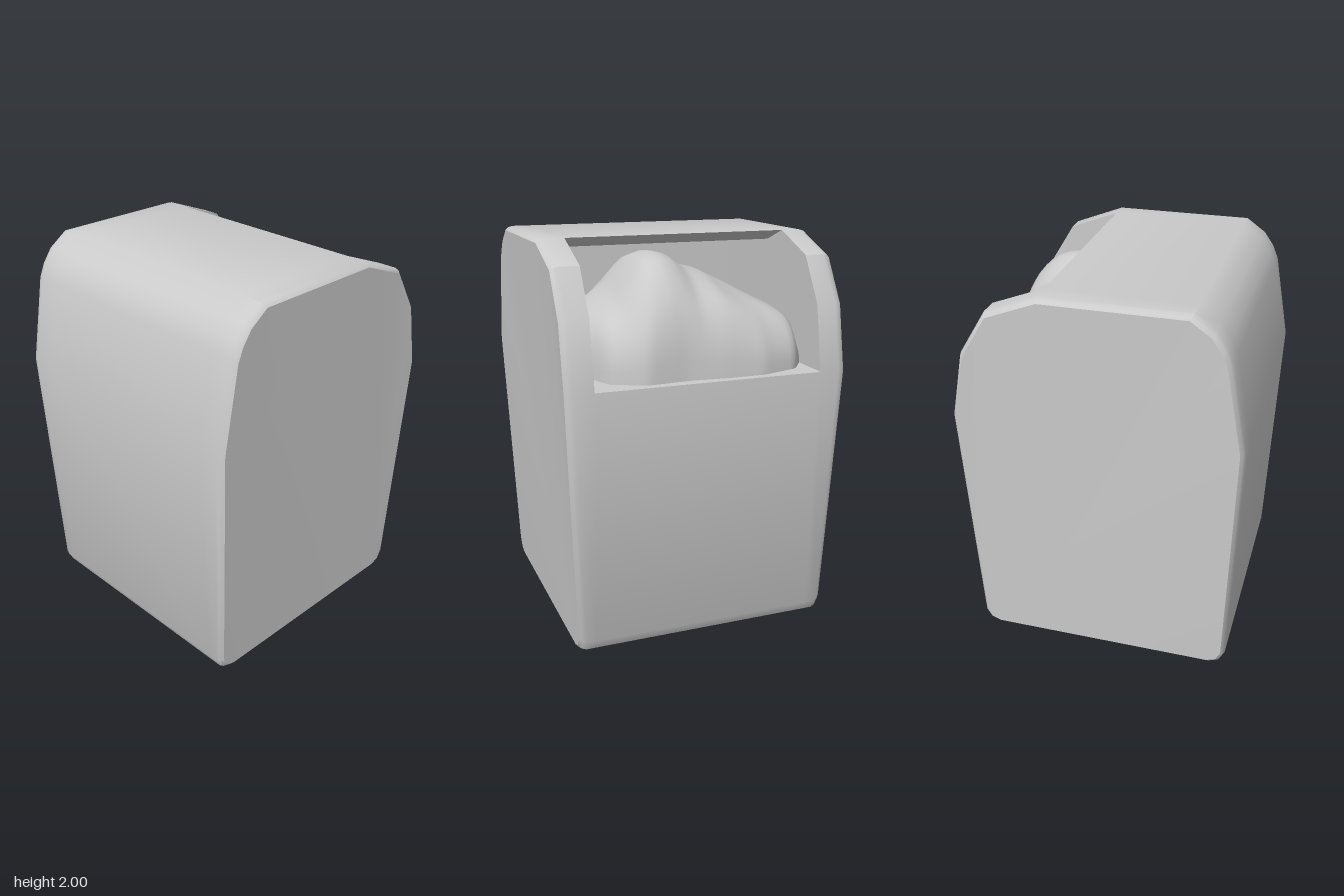
import * as THREE from 'three';
import { mergeGeometries, toCreasedNormals } from 'three/addons/utils/BufferGeometryUtils.js';

// Outer outline in x, y, counter-clockwise from the front
const rightLow = [[0.6, 0], [0.65, 0.02], [0.675, 0.07], [0.72, 1.35]];
const rightTop = [[0.655, 1.68], [0.52, 1.9], [0.26, 2]];
const leftSide = [[-0.46, 2], [-0.56, 1.93], [-0.61, 1.86], [-0.64, 1.79],
  [-0.72, 1.35], [-0.675, 0.07], [-0.65, 0.02], [-0.6, 0]];
const fullOutline = [...rightLow, ...rightTop, ...leftSide];
// The same outline with the load space cut out of the right-hand shoulder
const cutOutline = [...rightLow, [-0.4, 1.35], [-0.4, 1.94], [0.1, 1.94], [0.26, 2], ...leftSide];

// Skin a list of equal-length rings; convex rings can be capped
function loft(rings, capped) {
  const pos = [];
  const n = rings[0].length;
  const tri = (a, b, c) => pos.push(...a, ...b, ...c);
  for (let k = 0; k < rings.length - 1; k++) {
    for (let i = 0; i < n; i++) {
      const j = (i + 1) % n;
      const [p, q] = [rings[k], rings[k + 1]];
      tri(p[i], p[j], q[j]);
      tri(p[i], q[j], q[i]);
    }
  }
  if (capped) {
    const [s, e] = [rings[0], rings[rings.length - 1]];
    for (let i = 1; i < n - 1; i++) {
      tri(s[0], s[i + 1], s[i]);
      tri(e[0], e[i], e[i + 1]);
    }
  }
  const g = new THREE.BufferGeometry();
  g.setAttribute('position', new THREE.Float32BufferAttribute(pos, 3));
  return g;
}

// Outline at depth z, drawn in by "inset"; the outer rings taper to the foot
function ring(outline, z, inset = 0) {
  return outline.map(([x, y]) => {
    const taper = Math.abs(z) > 0.6 ? 0.925 + 0.075 * Math.min(y / 1.35, 1) : 1;
    return [x * (1 - inset / 0.72), 1 + (y - 1) * (1 - inset), z * taper];
  });
}

// Front and back cheeks with softened rims, joined by the hollowed middle
function bodyGeometry() {
  const steps = [[0.58, 0], [0.68, 0], [0.705, 0.007], [0.72, 0.02]];
  const front = steps.map(([z, inset]) => ring(fullOutline, z, inset));
  const back = steps.map(([z, inset]) => ring(fullOutline, -z, inset)).reverse();
  const middle = [ring(cutOutline, -0.58), ring(cutOutline, 0.58)];
  return toCreasedNormals(
    mergeGeometries([loft(front, true), loft(back, true), loft(middle, false)]), 0.62);
}

// Linear lookup in a list of [z, value]
function along(table, z) {
  for (let i = 1; i < table.length; i++) {
    const [a, b] = [table[i - 1], table[i]];
    if (z <= b[0]) return THREE.MathUtils.lerp(a[1], b[1], (z - a[0]) / (b[0] - a[0]));
  }
  return table[table.length - 1][1];
}

// Lumpy mound: one rounded section after another along z
function moundGeometry() {
  const crest = [[-0.58, 1.49], [-0.52, 1.62], [-0.35, 1.7], [-0.22, 1.77], [-0.12, 1.82],
    [0, 1.85], [0.08, 1.91], [0.15, 1.925], [0.24, 1.9], [0.31, 1.82], [0.37, 1.74],
    [0.52, 1.62], [0.58, 1.55]];
  const reach = [[-0.58, 0.5], [-0.5, 0.61], [-0.3, 0.675], [-0.1, 0.675], [0.1, 0.66],
    [0.3, 0.675], [0.47, 0.6], [0.54, 0.42], [0.58, 0.3]];
  const rows = 40, cols = 24;
  const pos = [], idx = [];
  for (let r = 0; r <= rows; r++) {
    const z = -0.58 + 1.16 * r / rows;
    const h = along(crest, z) - 1.35;
    const xMax = along(reach, z);
    const mid = 0.2 + 0.06 * Math.sin(z * 7);
    for (let c = 0; c <= cols; c++) {
      const a = Math.PI * c / cols;
      const cos = Math.cos(a), sin = Math.max(Math.sin(a), 0);
      const x = cos > 0 ? mid + (xMax - mid) * Math.pow(cos, 0.8) : mid + 0.55 * cos;
      const lump = 0.025 * Math.sin(x * 15 + z * 6) * Math.sin(z * 13 - x * 4) * sin * Math.abs(cos);
      pos.push(x, 1.349 + h * Math.pow(sin, 0.85) + lump, z);
      if (r < rows && c < cols) {
        const i = r * (cols + 1) + c, j = i + cols + 1;
        idx.push(i, j, i + 1, j, j + 1, i + 1);
      }
    }
  }
  const g = new THREE.BufferGeometry();
  g.setAttribute('position', new THREE.Float32BufferAttribute(pos, 3));
  g.setIndex(idx);
  g.computeVertexNormals();
  return g;
}

export function createModel() {
  const group = new THREE.Group();
  group.name = 'container';

  const body = new THREE.Mesh(bodyGeometry(), new THREE.MeshStandardMaterial({ color: 0xcccccc }));
  body.name = 'body';

  const mound = new THREE.Mesh(moundGeometry(),
    new THREE.MeshStandardMaterial({ color: 0xcccccc, side: THREE.DoubleSide }));
  mound.name = 'moundOfContents';

  group.add(body, mound);
  return group;
}
